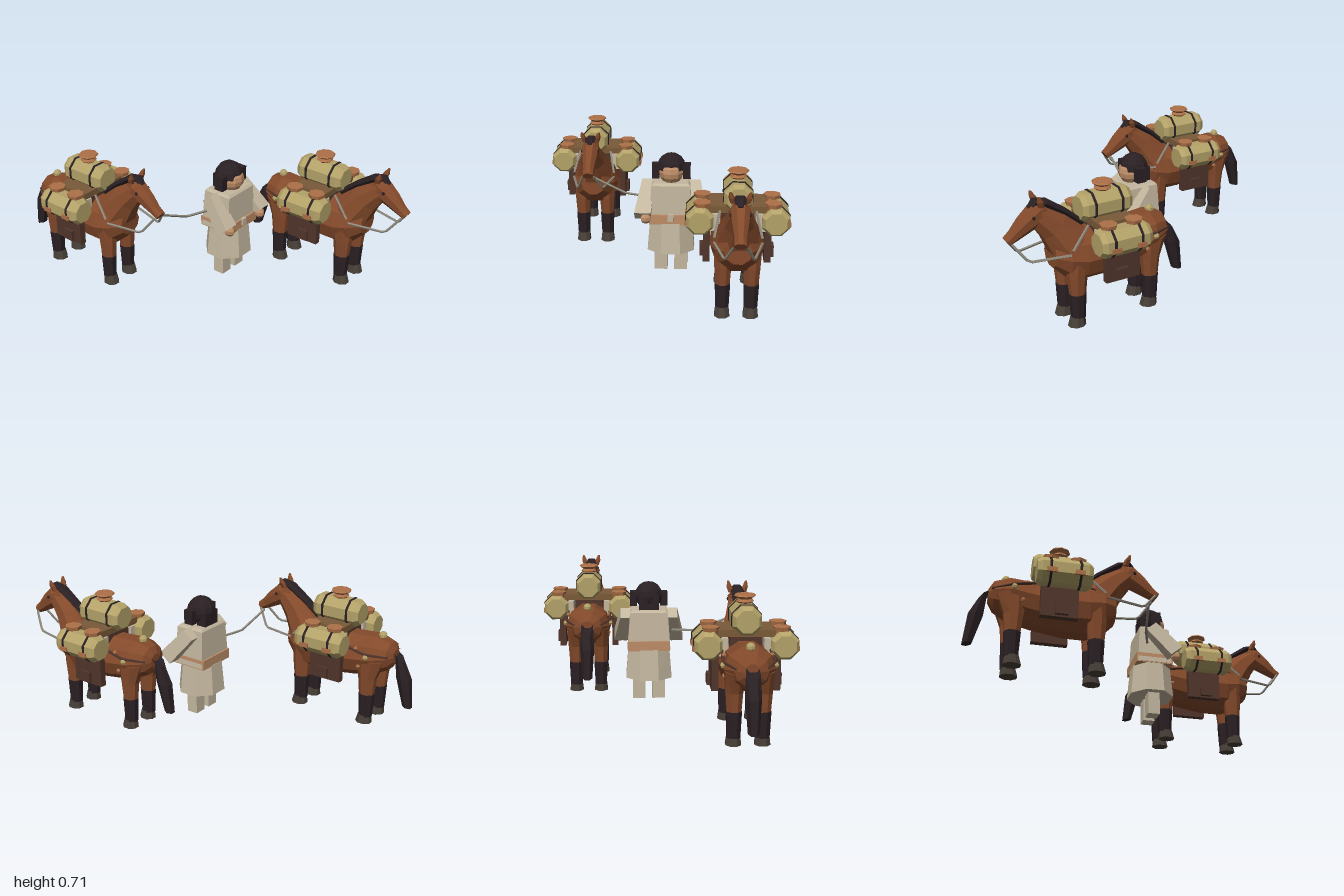
import * as THREE from 'three';

const mat = (name, color) => {
  const m = new THREE.MeshStandardMaterial({ color });
  m.name = name;
  return m;
};
const M = {
  coat: mat('chestnut coat', 0x844a2b),
  dark: mat('black hair', 0x2a2023),
  hoof: mat('hoof grey', 0x484038),
  canvas: mat('straw canvas', 0xb3a268),
  clay: mat('clay', 0xad7148),
  bag: mat('dark leather', 0x50352b),
  board: mat('saddle wood', 0x7a5a38),
  cloth: mat('cream cloth', 0xc4b79f),
  rope: mat('grey rope', 0x8e887b),
  skin: mat('warm skin', 0xbe8e68),
};

// Faceted mesh
function add(parent, name, geo, material, x = 0, y = 0, z = 0) {
  const g = geo.index ? geo.toNonIndexed() : geo;
  g.computeVertexNormals();
  const mesh = new THREE.Mesh(g, material);
  mesh.name = name;
  mesh.position.set(x, y, z);
  parent.add(mesh);
  return mesh;
}

// Closed loft; section = [x, y, radius in the xy plane, radius in z, tilt in degrees, z]
function loft(sections, n = 8) {
  const pos = [], idx = [];
  for (const [x, y, r, rz, deg, z = 0] of sections) {
    const a = deg * Math.PI / 180;
    for (let i = 0; i < n; i++) {
      const t = (i + 0.5) / n * Math.PI * 2, c = r * Math.cos(t);
      pos.push(x + Math.cos(a) * c, y + Math.sin(a) * c, z + rz * Math.sin(t));
    }
  }
  const last = (sections.length - 1) * n;
  for (let s = 0; s < last; s += n) for (let i = 0; i < n; i++) {
    const j = (i + 1) % n;
    idx.push(s + i, s + j, s + n + i, s + j, s + n + j, s + n + i);
  }
  for (let i = 1; i < n - 1; i++) idx.push(0, i + 1, i, last, last + i, last + i + 1);
  // Turn all faces outward using the signed volume
  const p = i => new THREE.Vector3().fromArray(pos, idx[i] * 3);
  let volume = 0;
  for (let i = 0; i < idx.length; i += 3) volume += p(i).dot(p(i + 1).cross(p(i + 2)));
  if (volume < 0) idx.reverse();
  const g = new THREE.BufferGeometry();
  g.setAttribute('position', new THREE.Float32BufferAttribute(pos, 3));
  g.setIndex(idx);
  return g;
}

// Rope made of straight pieces
function ropeLine(points, r = 0.007) {
  const path = new THREE.CurvePath();
  const v = points.map(q => new THREE.Vector3(...q));
  for (let i = 1; i < v.length; i++) path.add(new THREE.LineCurve3(v[i - 1], v[i]));
  return new THREE.TubeGeometry(path, 12, r, 5);
}

const box = (w, h, d) => new THREE.BoxGeometry(w, h, d);
const ball = (r, w = 8, h = 6) => new THREE.SphereGeometry(r, w, h);

// Rolled bundle along x with two dark straps
function bedroll(parent, name, y, z, r) {
  const roll = new THREE.Group();
  roll.name = name;
  roll.position.set(-0.03, y, z);
  add(roll, 'rolledCanvas', loft([[-0.14, 0, r * 0.78, r * 0.78, 90], [-0.115, 0, r, r, 90],
    [0.115, 0, r, r, 90], [0.14, 0, r * 0.78, r * 0.78, 90]]), M.canvas);
  for (const x of [-0.075, 0.075]) {
    add(roll, 'rollStrap', loft([[x - 0.006, 0, r + 0.004, r + 0.004, 90], [x + 0.006, 0, r + 0.004, r + 0.004, 90]]), M.dark);
  }
  parent.add(roll);
}

function packHorse() {
  const h = new THREE.Group();
  h.name = 'packHorse';
  add(h, 'body', loft([[-0.385, 0.4, 0.04, 0.04, 90], [-0.36, 0.4, 0.08, 0.085, 90], [-0.28, 0.39, 0.115, 0.128, 90],
    [-0.15, 0.37, 0.125, 0.128, 90], [0, 0.36, 0.138, 0.136, 90], [0.12, 0.36, 0.138, 0.136, 90],
    [0.2, 0.375, 0.125, 0.12, 90], [0.265, 0.385, 0.07, 0.07, 90]], 10), M.coat);
  add(h, 'neck', loft([[0.17, 0.43, 0.115, 0.115, 140], [0.25, 0.535, 0.083, 0.075, 140], [0.335, 0.615, 0.055, 0.048, 140]]), M.coat);
  add(h, 'head', loft([[0.295, 0.645, 0.03, 0.035, 53], [0.33, 0.615, 0.064, 0.052, 53], [0.4, 0.57, 0.05, 0.042, 53],
    [0.455, 0.528, 0.034, 0.031, 53], [0.492, 0.505, 0.026, 0.03, 53]]), M.coat);
  add(h, 'mane', loft([[0.09, 0.515, 0.018, 0.02, 140], [0.185, 0.595, 0.02, 0.03, 140], [0.29, 0.665, 0.022, 0.036, 130],
    [0.345, 0.678, 0.018, 0.03, 80], [0.37, 0.645, 0.014, 0.02, 50]], 6), M.dark);
  add(h, 'tail', loft([[-0.36, 0.435, 0.03, 0.03, 80], [-0.41, 0.4, 0.035, 0.035, 45], [-0.44, 0.29, 0.045, 0.04, 10],
    [-0.473, 0.125, 0.028, 0.028, 10]], 6), M.dark);

  for (const s of [1, -1]) {
    add(h, 'ear', loft([[0.318, 0.655, 0.018, 0.015, 0, s * 0.033], [0.328, 0.685, 0.018, 0.016, 0, s * 0.042],
      [0.338, 0.715, 0.005, 0.006, 0, s * 0.048]], 5), M.coat);
    add(h, 'eye', ball(0.01, 6, 4), M.dark, 0.365, 0.612, s * 0.043);
    // Legs with black stockings and hooves
    for (const [x, top, name] of [[0.16, 0.065, 'frontLeg'], [-0.26, 0.085, 'hindLeg']]) {
      const leg = new THREE.Group();
      leg.name = name;
      add(leg, 'thigh', loft([[x - 0.01, 0.38, top, 0.055, 0, s * 0.07], [x, 0.27, 0.053, 0.046, 0, s * 0.072],
        [x, 0.16, 0.042, 0.038, 0, s * 0.072]]), M.coat);
      add(leg, 'stocking', loft([[x, 0.175, 0.045, 0.042, 0, s * 0.072], [x, 0.04, 0.038, 0.036, 0, s * 0.072]]), M.dark);
      add(leg, 'hoof', loft([[x + 0.003, 0.05, 0.038, 0.036, 0, s * 0.072], [x + 0.008, 0, 0.047, 0.042, 0, s * 0.072]]), M.hoof);
      h.add(leg);
    }
    // Tack and ornaments
    add(h, 'rein', ropeLine([[0.48, 0.5, s * 0.03], [0.41, 0.405, s * 0.07], [0.21, 0.41, s * 0.118]]), M.rope);
    add(h, 'girthRope', ropeLine([[0.1, 0.535, s * 0.09], [0.2, 0.43, s * 0.118]]), M.rope);
    add(h, 'crupperStrap', ropeLine([[-0.1, 0.45, s * 0.12], [-0.26, 0.42, s * 0.128], [-0.37, 0.41, s * 0.07]], 0.008), M.bag);
    add(h, 'brassBell', ball(0.016, 6, 4), M.canvas, -0.265, 0.405, s * 0.128);
    for (const [x, y] of [[-0.2, 0.44], [-0.22, 0.34]]) add(h, 'clayBead', ball(0.012, 6, 4), M.clay, x, y, s * 0.118);
    // Side load
    add(h, 'saddleFlap', box(0.19, 0.22, 0.035), M.bag, -0.045, 0.35, s * 0.155);
    add(h, 'flapPocket', box(0.065, 0.06, 0.02), M.bag, -0.035, 0.28, s * 0.18);
    add(h, 'blanketEdge', box(0.2, 0.09, 0.05), M.cloth, -0.03, 0.46, s * 0.115);
    bedroll(h, 'sideRoll', 0.47, s * 0.19, 0.075);
    for (const x of [-0.1, 0.04]) {
      add(h, 'sidePot', new THREE.CylinderGeometry(0.046, 0.035, 0.05, 7), M.clay, x, 0.535, s * 0.178);
      add(h, 'sideToggle', box(0.05, 0.025, 0.012), M.clay, x, 0.45, s * 0.261);
    }
  }
  // Top load
  add(h, 'rumpBell', ball(0.024, 7, 5), M.canvas, -0.3, 0.502, 0);
  add(h, 'saddleBase', box(0.18, 0.09, 0.16), M.bag, -0.03, 0.5, 0);
  add(h, 'packBoard', box(0.2, 0.035, 0.29), M.board, -0.03, 0.53, 0);
  bedroll(h, 'topRoll', 0.595, 0, 0.077);
  add(h, 'topPot', new THREE.LatheGeometry([[0, 0], [0.03, 0], [0.045, 0.012], [0.035, 0.025], [0.056, 0.04], [0.05, 0.048], [0, 0.048]]
    .map(q => new THREE.Vector2(...q)), 8), M.clay, -0.03, 0.663, 0);
  return h;
}

function handler() {
  const p = new THREE.Group();
  p.name = 'handler';
  const q = Math.SQRT2;
  add(p, 'torso', loft([[0, 0.3, 0.095 * q, 0.12 * q, 0], [0, 0.51, 0.085 * q, 0.105 * q, 0], [0, 0.522, 0.075 * q, 0.095 * q, 0]], 4), M.cloth);
  add(p, 'sash', box(0.206, 0.055, 0.236), M.skin, 0, 0.322, 0);
  add(p, 'robeSkirt', loft([[0, 0.127, 0.13, 0.14, 0], [0, 0.3, 0.113, 0.125, 0]]), M.cloth);
  add(p, 'sashKnot', box(0.018, 0.04, 0.03), M.cloth, 0.104, 0.335, 0);
  for (const s of [1, -1]) {
    add(p, 'leg', box(0.065, 0.14, 0.072), M.cloth, 0, 0.07 + 0.002, s * 0.055);
    add(p, 'sleeve', loft([[-0.03, 0.5, 0.036 * q, 0.035 * q, 40, s * 0.125], [0.105, 0.345, 0.042 * q, 0.045 * q, 40, s * 0.152]], 4), M.cloth);
    add(p, 'hand', ball(0.03, 6, 5), M.skin, 0.115, 0.335, s * 0.135);
    add(p, 'sideLock', box(0.055, 0.08, 0.04), M.dark, 0.01, 0.577, s * 0.085);
  }
  add(p, 'face', ball(0.068, 10, 8), M.skin, 0.02, 0.575, 0);
  add(p, 'hair', ball(0.079, 10, 8), M.dark, 0, 0.595, 0);
  add(p, 'backHair', box(0.06, 0.08, 0.11), M.dark, -0.04, 0.56, 0);
  return p;
}

export function createModel() {
  const model = new THREE.Group();
  model.name = 'caravan';
  for (const s of [1, -1]) {
    const horse = packHorse();
    horse.position.set(-0.5 * s, 0, 0.41 * s);
    model.add(horse);
  }
  const person = handler();
  person.position.set(0.078, 0, -0.06);
  model.add(person);
  add(model, 'leadRope', ropeLine([[-0.04, 0.49, 0.385], [-0.01, 0.41, 0.2], [0.03, 0.405, 0.07]]), M.rope);
  return model;
}
